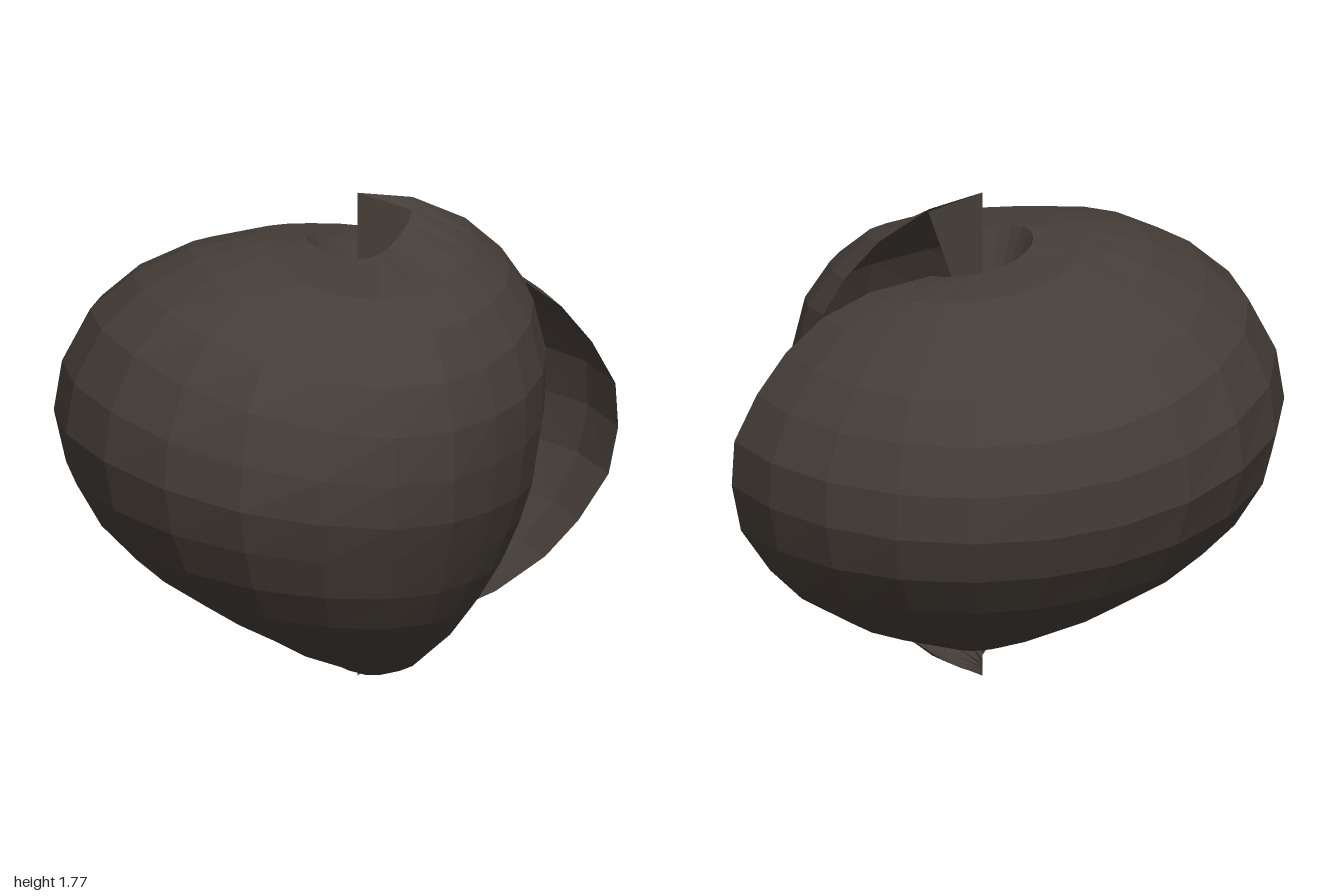
import * as THREE from 'three';

const CX = 0.06, CZ = 0.035;   // position of the coil axis
const SEGMENTS = 22;           // steps around one full turn
const DIMPLE_FLOOR = 1.15;

// Half profiles [radius, height], bottom to top, at each quarter turn
const PROFILES = [
  [[0, .11], [.12, .12], [.3, .19], [.5, .26], [.68, .37], [.8, .49], [.91, .65], [.945, .82],
    [.935, .98], [.85, 1.14], [.74, 1.28], [.6, 1.39], [.42, 1.46], [.19, 1.49], [0, 1.15]],
  [[0, .1], [.13, .14], [.28, .2], [.45, .28], [.63, .39], [.775, .5], [.885, .65], [.945, .81],
    [.945, .98], [.895, 1.15], [.795, 1.28], [.615, 1.42], [.395, 1.53], [.17, 1.55], [0, 1.15]],
  [[0, .11], [.2, .17], [.42, .28], [.62, .38], [.8, .5], [.93, .64], [1.02, .8], [1.06, .99],
    [1.03, 1.17], [.93, 1.36], [.78, 1.49], [.59, 1.58], [.36, 1.625], [.18, 1.61], [0, 1.15]],
  [[0, .04], [.2, .06], [.39, .13], [.545, .25], [.665, .38], [.755, .52], [.815, .67], [.865, .81],
    [.875, .97], [.855, 1.14], [.785, 1.3], [.655, 1.45], [.505, 1.54], [.18, 1.59], [0, 1.15]],
  [[0, 0], [.05, .025], [.14, .07], [.3, .19], [.39, .3], [.48, .44], [.56, .6], [.6, .74],
    [.64, 1], [.65, 1.2], [.6, 1.4], [.52, 1.52], [.39, 1.64], [.2, 1.735], [0, 1.77]],
];

// Swelling (+) and tightening (-) of the coil at each sixteenth of the turn
const SWELL = [0, .02, .033, .02, 0, 0, 0, 0, 0, .015, .033, 0, -.05, -.135, -.14, -.09, 0];

// Smooth curve through points, read at a fraction t of the turn
const smooth = (points) => new THREE.CatmullRomCurve3(points, false, 'catmullrom', 0.5);

// One-turn coiled shell, blending the profiles around the axis
function shellGeometry() {
  const rows = PROFILES[0].length;
  const curves = PROFILES[0].map((_, j) => smooth(
    PROFILES.map((p) => new THREE.Vector3(p[j][0], p[j][1], 0))));
  const swell = smooth(SWELL.map((s) => new THREE.Vector3(s, 0, 0)));
  const positions = [], index = [];
  for (let i = 0; i <= SEGMENTS; i++) {
    const t = i / SEGMENTS, a = t * Math.PI * 2, s = swell.getPoint(t).x;
    for (let j = 0; j < rows; j++) {
      const p = curves[j].getPoint(t);
      // the swell is strongest near the base
      const r = p.x * (1 + s * (1.1 - 0.35 * p.y));
      // the dimple floor stays low until the raised closing lip
      const y = j === rows - 1 && i < SEGMENTS ? DIMPLE_FLOOR : p.y;
      positions.push(CX + r * Math.cos(a), y, CZ - r * Math.sin(a));
    }
  }
  for (let i = 0; i < SEGMENTS; i++) {
    for (let j = 0; j < rows - 1; j++) {
      const a = i * rows + j, b = a + rows;
      index.push(a, b, b + 1, a, b + 1, a + 1);
    }
  }
  const g = new THREE.BufferGeometry();
  g.setAttribute('position', new THREE.Float32BufferAttribute(positions, 3));
  g.setIndex(index);
  g.computeVertexNormals();
  return g;
}

export function createModel() {
  const group = new THREE.Group();
  group.name = 'coiledShell';
  const darkBrown = new THREE.MeshStandardMaterial({
    color: 0x453d37, flatShading: true, side: THREE.DoubleSide,
  });
  darkBrown.name = 'darkBrown';
  const shell = new THREE.Mesh(shellGeometry(), darkBrown);
  shell.name = 'shell';
  group.add(shell);
  return group;
}
